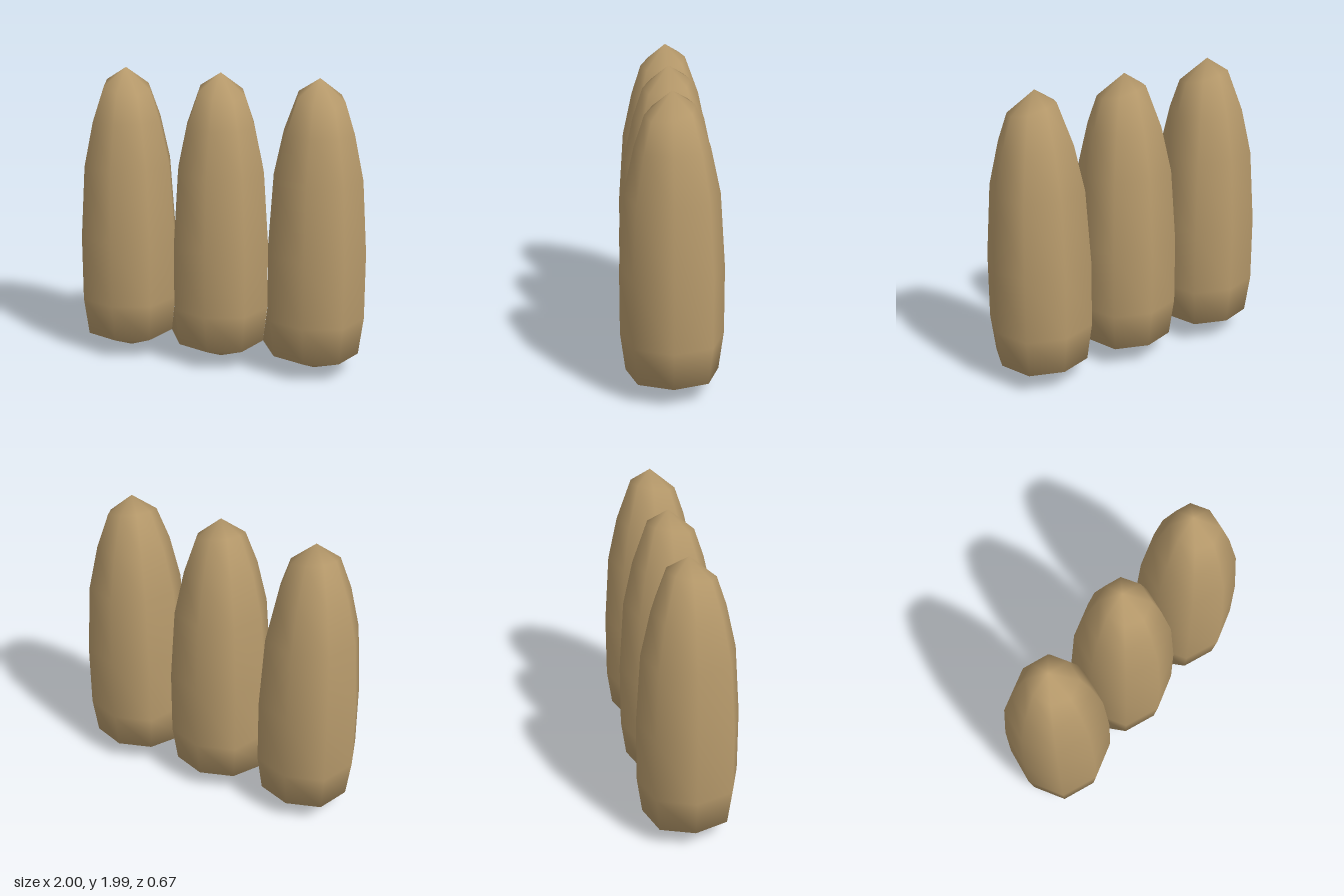
import * as THREE from 'three';

const SIDES = 8;
// height and radius of each ring, bottom to top
const RINGS = [[0.145, 0.3], [0.4, 0.333], [0.85, 0.333], [1.34, 0.3], [1.64, 0.235], [1.87, 0.155]];

// One tapered eight-sided pod; left and right give the x where its lowest ring joins a neighbour
function podGeometry(centre, left, right) {
  const pos = [centre, 0.005, 0];
  RINGS.forEach(([y, r], k) => {
    for (let i = 0; i < SIDES; i++) {
      const a = (i / SIDES) * Math.PI * 2;
      const c = Math.cos(a), s = Math.sin(a);
      let radius = r * (i % 2 ? 1.05 : 1);
      let x, py = y;
      if (k === RINGS.length - 1) { // the cap ring leans slightly
        radius += 0.015 * (c + s);
        py -= 0.03 * (c + s);
      }
      x = centre + radius * c;
      if (k === 0 && i === 0 && right !== undefined) { x = right; py = 0.155; }
      if (k === 0 && i === SIDES / 2 && left !== undefined) { x = left; py = 0.155; }
      pos.push(x, py, radius * s);
    }
  });
  const top = pos.length / 3;
  pos.push(centre, 1.99, 0);

  const index = [];
  const id = (k, i) => 1 + k * SIDES + (i % SIDES);
  const last = RINGS.length - 1;
  for (let i = 0; i < SIDES; i++) {
    index.push(0, id(0, i), id(0, i + 1)); // pointed base
    for (let k = 0; k < last; k++) {
      index.push(id(k, i), id(k + 1, i), id(k + 1, i + 1));
      index.push(id(k, i), id(k + 1, i + 1), id(k, i + 1));
    }
    index.push(id(last, i), top, id(last, i + 1)); // pointed tip
  }
  const geo = new THREE.BufferGeometry();
  geo.setAttribute('position', new THREE.Float32BufferAttribute(pos, 3));
  geo.setIndex(index);
  geo.computeVertexNormals();
  return geo;
}

export function createModel() {
  const group = new THREE.Group();
  group.name = 'podRow';
  const tan = new THREE.MeshStandardMaterial({ color: 0xb89b6c });
  tan.name = 'tan';

  const pods = [
    ['rightPod', -0.667, undefined, -0.36],
    ['middlePod', 0, -0.36, 0.305],
    ['leftPod', 0.667, 0.305, undefined],
  ];
  for (const [name, centre, left, right] of pods) {
    const mesh = new THREE.Mesh(podGeometry(centre, left, right), tan);
    mesh.name = name;
    group.add(mesh);
  }
  return group;
}
